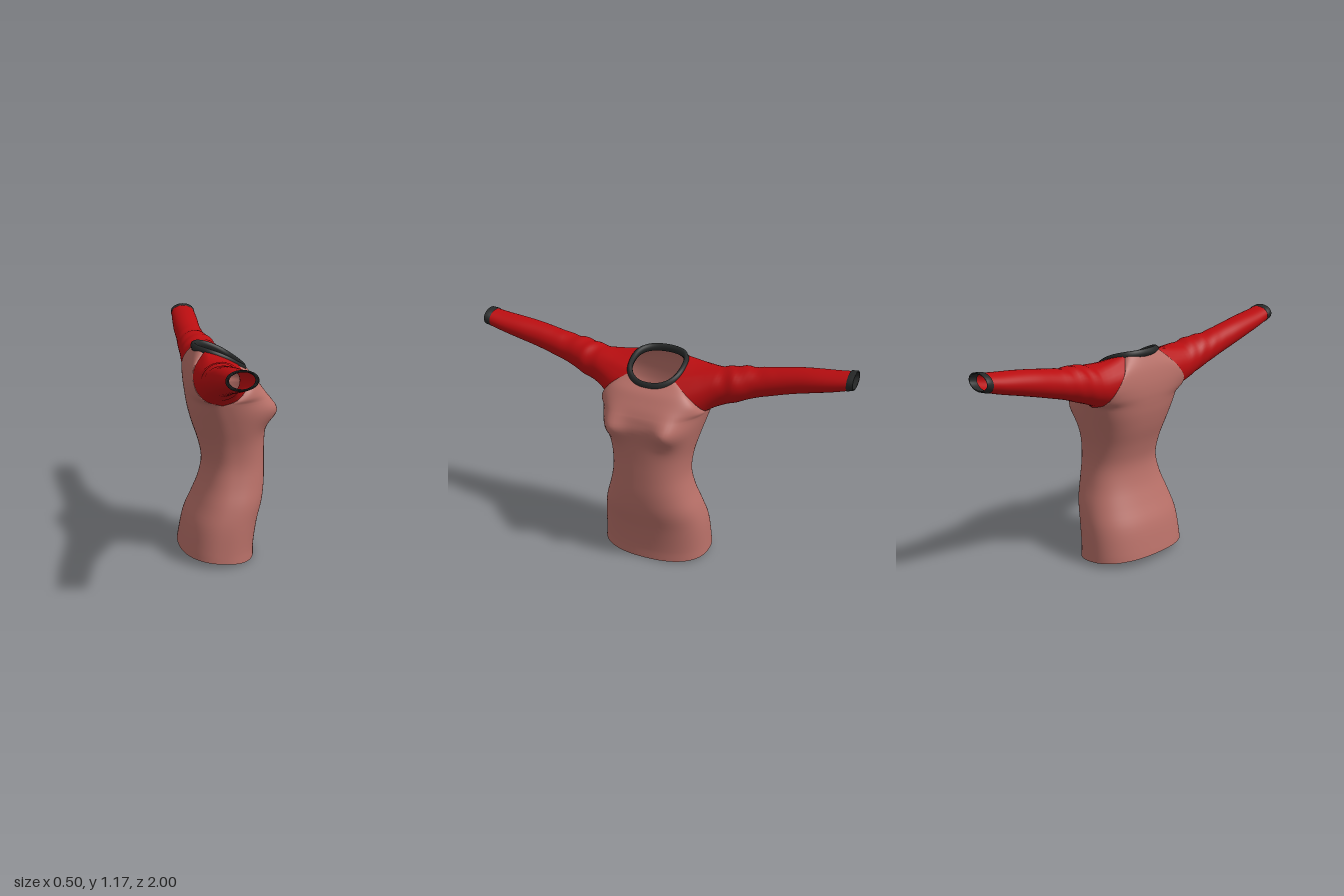
import * as THREE from 'three';
import { mergeVertices, mergeGeometries } from 'three/addons/utils/BufferGeometryUtils.js';

const V = (x, y, z = 0) => new THREE.Vector3(x, y, z);
const bend = (v, e = 0.85) => Math.sign(v) * Math.abs(v) ** e;

// Smooth curve through points, sampled with n steps per span
const smooth = (pts, n) => new THREE.CatmullRomCurve3(pts).getPoints((pts.length - 1) * n);

// Skin over rows of points
function grid(rows) {
  const pos = [], index = [], w = rows[0].length;
  rows.forEach((row, i) => row.forEach((p, j) => {
    // slight natural lean of the garment, fading towards the wrists
    const far = Math.min(1, Math.abs(p.z));
    pos.push(p.x, p.y - (p.z < 0 ? 0.015 * far * far : 0), p.z - 0.012 * (1 - far));
    if (i && j) {
      const d = i * w + j, c = d - 1, b = d - w, a = b - 1;
      index.push(a, b, c, b, d, c);
    }
  }));
  const g = new THREE.BufferGeometry();
  g.setAttribute('position', new THREE.Float32BufferAttribute(pos, 3));
  g.setIndex(index);
  return g;
}

function skin(name, grids, material) {
  const g = mergeVertices(mergeGeometries(grids), 1e-4);
  g.computeVertexNormals();
  const mesh = new THREE.Mesh(g, material);
  mesh.name = name;
  return mesh;
}

// Point on the tilted neckline; angle 0 is the chest side (+x)
function neck(a, out = 0, up = 0) {
  const c = bend(Math.cos(a)), s = bend(Math.sin(a));
  return V(-0.027 + (0.125 + out) * c, 1.055 - 0.055 * c - 0.02 * c * c + up, (0.137 + out) * s);
}
const FRONT_A = 0.96, BACK_A = 2.27;

// Side line from hem to underarm: x, y, half width
const side = [
  [-0.05, 0.02, 0.293], [-0.05, 0.07, 0.29], [-0.03, 0.2, 0.28], [0, 0.3, 0.258], [0.02, 0.4, 0.225],
  [0.03, 0.5, 0.204], [0.02, 0.6, 0.21], [0, 0.7, 0.235], [-0.03, 0.78, 0.258], [-0.05, 0.84, 0.275],
].map(p => V(...p));
// Raglan seams from underarm to neckline
const frontSeam = [side[9], V(0.02, 0.862, 0.272), V(0.07, 0.91, 0.245), V(0.082, 0.96, 0.195), neck(FRONT_A)];
const backSeam = [side[9], V(-0.13, 0.865, 0.275), V(-0.178, 0.92, 0.25), V(-0.18, 1.0, 0.185), neck(BACK_A)];
// Centre lines of chest and back, hem to underarm level, then to neckline
const chest = [[0.145, 0], [0.146, 0.06], [0.165, 0.19], [0.193, 0.3], [0.204, 0.4], [0.205, 0.5],
  [0.205, 0.6], [0.21, 0.7], [0.222, 0.78], [0.21, 0.84]].map(p => V(...p));
const chestTop = [chest[9], V(0.19, 0.877), V(0.165, 0.912), V(0.135, 0.95), neck(0)];
const spine = [[-0.245, 0.04], [-0.238, 0.08], [-0.212, 0.2], [-0.168, 0.3], [-0.13, 0.4], [-0.115, 0.5],
  [-0.135, 0.6], [-0.168, 0.7], [-0.188, 0.78], [-0.197, 0.84]].map(p => V(...p));
const spineTop = [spine[9], V(-0.201, 0.89), V(-0.198, 0.95), V(-0.183, 1.02), neck(Math.PI)];

// Half of the torso, stretched from side to side over a centre line
function halfShell(seam, centre, top, dir) {
  const n = 4, cols = 40;
  const edge = [...smooth(side, n), ...smooth(seam, n).slice(1)];
  const mid = [...smooth(centre, n), ...smooth(top, n).slice(1)];
  return grid(edge.map((e, i) => Array.from({ length: cols + 1 }, (_, j) => {
    const a = (0.5 - j / cols) * Math.PI * dir;
    const c = j % cols ? bend(Math.cos(a)) : 0, z = e.z * bend(Math.sin(a));
    const p = V(e.x + (mid[i].x - e.x) * c, e.y + (mid[i].y - e.y) * c, z);
    // bust
    if (dir > 0 && c) {
      p.x += 0.058 * Math.exp(-(((Math.abs(z) - 0.155) / 0.07) ** 2) - ((p.y - 0.78) / 0.075) ** 2);
    }
    return p;
  })));
}

// Sleeve sections: z, back x, front x, bottom y, top y
const sleeveRings = [
  [0.31, -0.18, 0.04, 0.862, 1.066], [0.37, -0.177, 0.022, 0.887, 1.075], [0.42, -0.176, 0.018, 0.905, 1.086],
  [0.5, -0.175, -0.008, 0.937, 1.09], [0.6, -0.17, -0.02, 0.968, 1.108], [0.7, -0.17, -0.024, 0.998, 1.127],
  [0.8, -0.165, -0.02, 1.026, 1.142], [0.9, -0.158, -0.018, 1.054, 1.154], [0.98, -0.15, -0.02, 1.08, 1.166],
];
// Cuff sections run along the outside, round the edge and back inside
const cuffRings = [
  [0.965, -0.149, -0.024, 1.078, 1.162], [0.968, -0.155, -0.017, 1.074, 1.168], [0.997, -0.152, -0.016, 1.084, 1.172],
  [1.0, -0.148, -0.02, 1.088, 1.168], [0.997, -0.144, -0.024, 1.092, 1.164], [0.96, -0.146, -0.026, 1.082, 1.158],
];
const STEPS = 40;
const section = ([z, x0, x1, y0, y1]) => Array.from({ length: STEPS + 1 }, (_, j) => {
  const a = (j / STEPS) * 2 * Math.PI - Math.PI / 2;
  return V((x0 + x1) / 2 + (x1 - x0) / 2 * Math.cos(a), (y0 + y1) / 2 + (y1 - y0) / 2 * Math.sin(a), z);
});
const toSide = (rows, s) => rows.map(r => s > 0 ? r : r.map(p => V(p.x, p.y, -p.z)).reverse());

function sleeveRows() {
  // start loop: up the front seam, along the neckline, down the back seam
  const arc = Array.from({ length: 7 }, (_, i) => neck(FRONT_A + (BACK_A - FRONT_A) * (i + 1) / 8));
  const loop = [...smooth(frontSeam, 4), ...arc, ...smooth(backSeam, 4).reverse()];
  const rings = [loop, ...sleeveRings.map(section)];
  const lines = loop.map((_, j) => smooth(rings.map(r => r[j]), 4));
  return lines[0].map((_, i) => lines.map((line, j) => {
    const p = line[i].clone();
    // soft folds around the elbow and shoulder
    const fold = Math.exp(-(((p.z - 0.42) / 0.13) ** 2)) * Math.sin(p.z * 70 + j * 0.35);
    p.y += 0.004 * fold * Math.sin((j / STEPS) * Math.PI);
    return p;
  }));
}

export function createModel() {
  const mat = (name, color) => Object.assign(
    new THREE.MeshStandardMaterial({ color, side: THREE.DoubleSide }), { name });
  const rose = mat('dusty rose', 0xb87068);
  const red = mat('red', 0xb80d10);
  const dark = mat('charcoal', 0x262828);
  const group = new THREE.Group();
  group.name = 'raglanShirt';

  group.add(skin('torso', [
    halfShell(frontSeam, chest, chestTop, 1),
    halfShell(backSeam, spine, spineTop, -1),
  ], rose));

  const sleeve = sleeveRows(), cuff = cuffRings.map(section);
  for (const [s, label] of [[1, 'left'], [-1, 'right']]) {
    group.add(skin(label + 'Sleeve', [grid(toSide(sleeve, s))], red));
    group.add(skin(label + 'Cuff', [grid(toSide(cuff, s))], dark));
  }

  // Ribbed collar band
  const band = [[0.01, -0.02], [0.015, -0.004], [0.009, 0.011], [0, 0.016], [-0.009, 0.01],
    [-0.012, -0.004], [-0.008, -0.022], [0.01, -0.02]];
  group.add(skin('collar', [grid(band.map(([out, up]) =>
    Array.from({ length: 65 }, (_, j) => neck(-(j / 64) * 2 * Math.PI, out, up))))], dark));
  return group;
}
